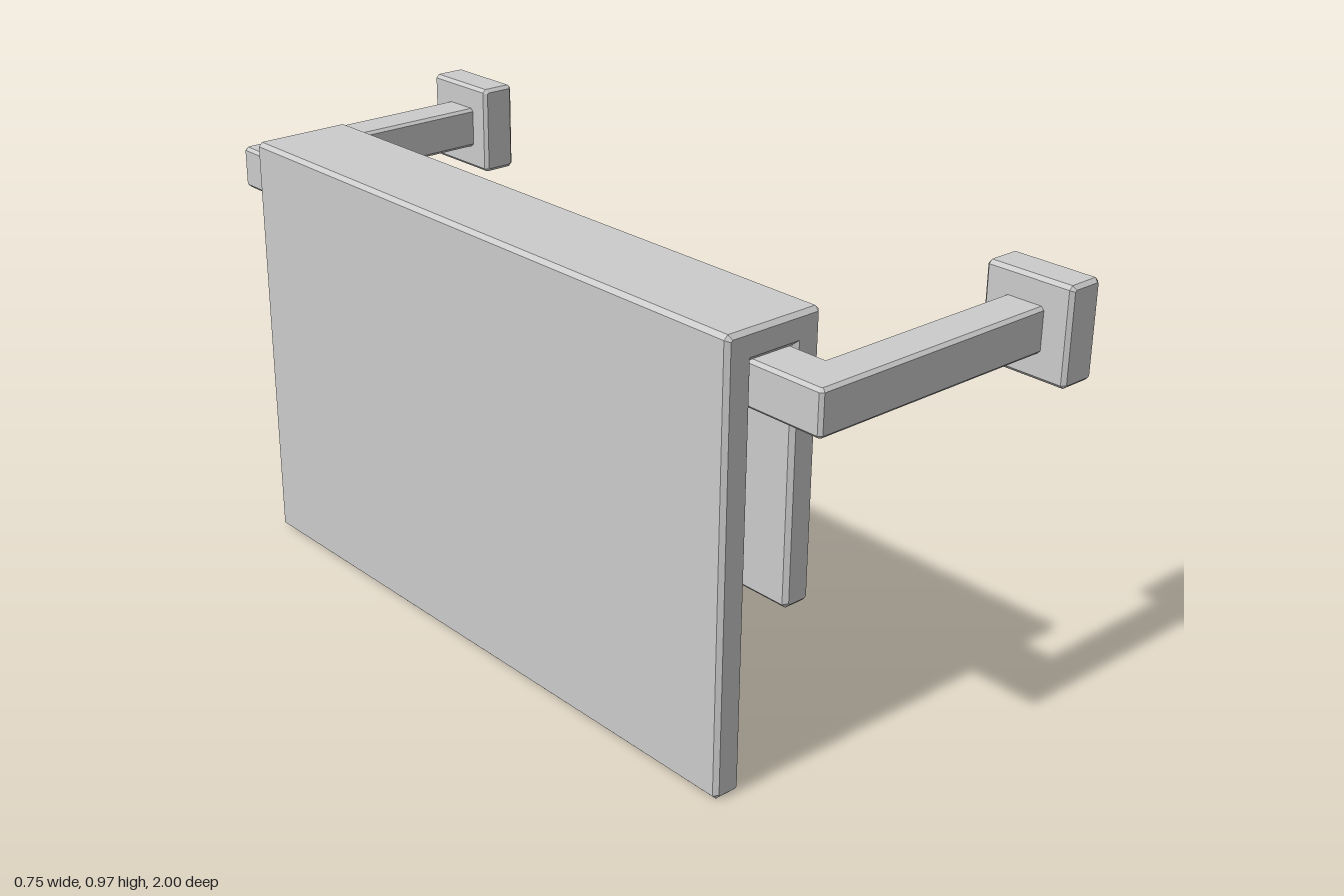
import * as THREE from 'three';

const material = new THREE.MeshStandardMaterial({ color: 0xcccccc, flatShading: true });

// Counter-clockwise outline with its convex corners cut off by c
function chamferedShape(corners, c) {
  const pts = corners.map(([x, y]) => new THREE.Vector2(x, y));
  const out = [];
  pts.forEach((p, i) => {
    const toPrev = pts[(i + pts.length - 1) % pts.length].clone().sub(p).normalize();
    const toNext = pts[(i + 1) % pts.length].clone().sub(p).normalize();
    if (toNext.cross(toPrev) > 0) {
      out.push(p.clone().addScaledVector(toPrev, c), p.clone().addScaledVector(toNext, c));
    } else out.push(p.clone());
  });
  return new THREE.Shape(out);
}

// Solid of the given outline, centred along z, with chamfered edges
function chamferedSolid(corners, depth, c) {
  const geometry = new THREE.ExtrudeGeometry(chamferedShape(corners, c), {
    depth: depth - 2 * c, bevelEnabled: true, bevelSegments: 1,
    bevelThickness: c, bevelSize: c, bevelOffset: -c,
  });
  return geometry.translate(0, 0, -(depth - 2 * c) / 2);
}

function add(parent, name, geometry, x = 0, y = 0, z = 0) {
  const mesh = new THREE.Mesh(geometry, material);
  mesh.name = name;
  mesh.position.set(x, y, z);
  parent.add(mesh);
}

export function createModel() {
  const model = new THREE.Group();
  model.name = 'towelRail';

  // Towel folded over the rail, long side at -x
  add(model, 'towel', chamferedSolid([
    [-0.377, 0], [-0.312, 0], [-0.312, 0.907], [-0.205, 0.907],
    [-0.205, 0.36], [-0.14, 0.36], [-0.14, 0.97], [-0.377, 0.97],
  ], 1.538, 0.009));

  // Rail with an arm at each end, outlined from above
  const rail = chamferedSolid([
    [-0.312, -0.938], [0.3, -0.938], [0.3, -0.843], [-0.205, -0.843],
    [-0.205, 0.843], [0.3, 0.843], [0.3, 0.938], [-0.312, 0.938],
  ], 0.097, 0.007).rotateX(-Math.PI / 2);
  add(model, 'rail', rail, 0, 0.8585, 0);

  // Wall mounts
  const mount = chamferedSolid([
    [-0.0425, -0.105], [0.0425, -0.105], [0.0425, 0.105], [-0.0425, 0.105],
  ], 0.208, 0.008);
  for (const [name, side] of [['frontMount', 1], ['backMount', -1]]) {
    add(model, name, mount, 0.3325, 0.859, side * 0.896);
  }
  return model;
}
